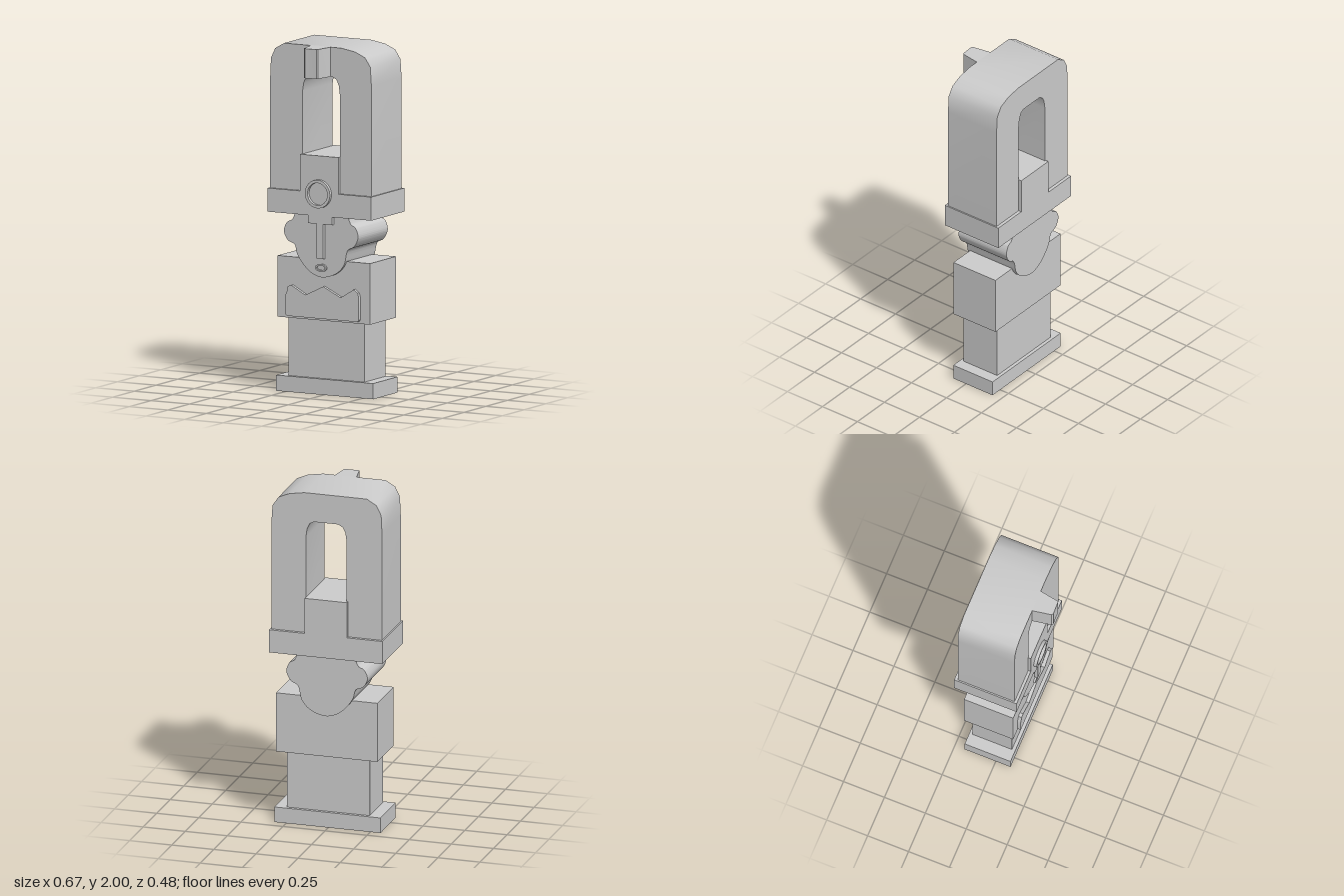
import * as THREE from 'three';
import { toCreasedNormals } from 'three/addons/utils/BufferGeometryUtils.js';

const material = new THREE.MeshStandardMaterial({ color: 0xcccccc });
const vec = (points) => points.map(([x, y]) => new THREE.Vector2(x, y));

export function createModel() {
  const model = new THREE.Group();

  function add(name, geometry) {
    const mesh = new THREE.Mesh(geometry, material);
    mesh.name = name;
    model.add(mesh);
    return mesh;
  }

  // box from its limits on each axis
  function box(name, [x0, x1], [y0, y1], [z0, z1]) {
    const mesh = add(name, new THREE.BoxGeometry(x1 - x0, y1 - y0, z1 - z0));
    mesh.position.set((x0 + x1) / 2, (y0 + y1) / 2, (z0 + z1) / 2);
  }

  // outline in the xy plane pulled from z0 to z1
  function slab(name, shape, z0, z1) {
    const geometry = new THREE.ExtrudeGeometry(shape, { depth: z1 - z0, bevelEnabled: false, curveSegments: 24 });
    geometry.translate(0, 0, z0);
    add(name, toCreasedNormals(geometry, 0.6));
  }

  // flat ring, round or oval
  function ring(name, x, y, rx, ry, width, z0, z1) {
    const shape = new THREE.Shape().absellipse(x, y, rx, ry, 0, Math.PI * 2);
    shape.holes.push(new THREE.Path().absellipse(x, y, rx - width, ry - width, 0, Math.PI * 2));
    slab(name, shape, z0, z1);
  }

  // body
  box('base', [-0.31, 0.32], [0, 0.09], [-0.19, 0.09]);
  box('legs', [-0.24, 0.252], [0.09, 0.427], [-0.17, 0.07]);
  box('torso', [-0.295, 0.306], [0.427, 0.777], [-0.2, 0.1]);
  slab('chestPlate', new THREE.Shape(vec([
    [-0.22, 0.44], [0.235, 0.44], [0.243, 0.45], [0.243, 0.58], [0.235, 0.605], [0.21, 0.623],
    [0.125, 0.57], [0.012, 0.625], [-0.105, 0.568], [-0.195, 0.618], [-0.217, 0.61],
    [-0.225, 0.575], [-0.232, 0.56], [-0.232, 0.447],
  ])), 0.09, 0.12);

  // head with ears in one outline
  const head = new THREE.Shape();
  head.moveTo(-0.172, 1.035);
  head.splineThru(vec([
    [-0.19, 0.995], [-0.225, 0.975], [-0.244, 0.925], [-0.22, 0.875], [-0.175, 0.852],
    [-0.158, 0.8], [-0.125, 0.75], [-0.07, 0.7], [0.005, 0.677], [0.09, 0.702], [0.145, 0.757],
    [0.168, 0.84], [0.21, 0.867], [0.237, 0.92], [0.222, 0.972], [0.19, 0.995], [0.172, 1.035],
  ]));
  slab('head', head, -0.225, 0.117);

  // face
  box('brow', [-0.075, 0.08], [0.985, 1.032], [0.1, 0.139]);
  box('nose', [-0.021, 0.022], [0.785, 0.99], [0.1, 0.138]);
  ring('mouth', 0, 0.732, 0.036, 0.022, 0.009, 0.11, 0.128);

  // hat
  box('hatBrim', [-0.338, 0.335], [1.03, 1.165], [-0.243, 0.139]);
  box('hatFront', [-0.127, 0.123], [1.16, 1.375], [-0.243, 0.139]);
  ring('hatBadge', -0.004, 1.158, 0.081, 0.081, 0.017, 0.13, 0.158);

  // tall arch above the hat
  const arch = new THREE.Shape(vec([
    [-0.33, 1.16], [-0.12, 1.16], [-0.12, 1.735], [-0.112, 1.785], [-0.097, 1.815], [-0.07, 1.831],
    [0.075, 1.831], [0.1, 1.817], [0.115, 1.785], [0.122, 1.735], [0.122, 1.16], [0.327, 1.16],
    [0.327, 1.8], [0.32, 1.905], [0.285, 1.957], [0.22, 1.985], [0.13, 2],
    [-0.24, 2], [-0.297, 1.967], [-0.325, 1.91], [-0.33, 1.8],
  ]));
  slab('arch', arch, -0.224, 0.123);

  // beak: plan outline pulled upward
  const beak = new THREE.ExtrudeGeometry(new THREE.Shape(vec([
    [-0.07, -0.11], [-0.067, -0.124], [-0.048, -0.234], [-0.038, -0.241], [0, -0.239],
    [0.035, -0.239], [0.042, -0.234], [0.06, -0.124], [0.063, -0.11],
  ])), { depth: 0.169, bevelEnabled: false });
  beak.rotateX(-Math.PI / 2);
  beak.translate(0, 1.831, 0);
  add('beak', toCreasedNormals(beak, 0.6));

  return model;
}
